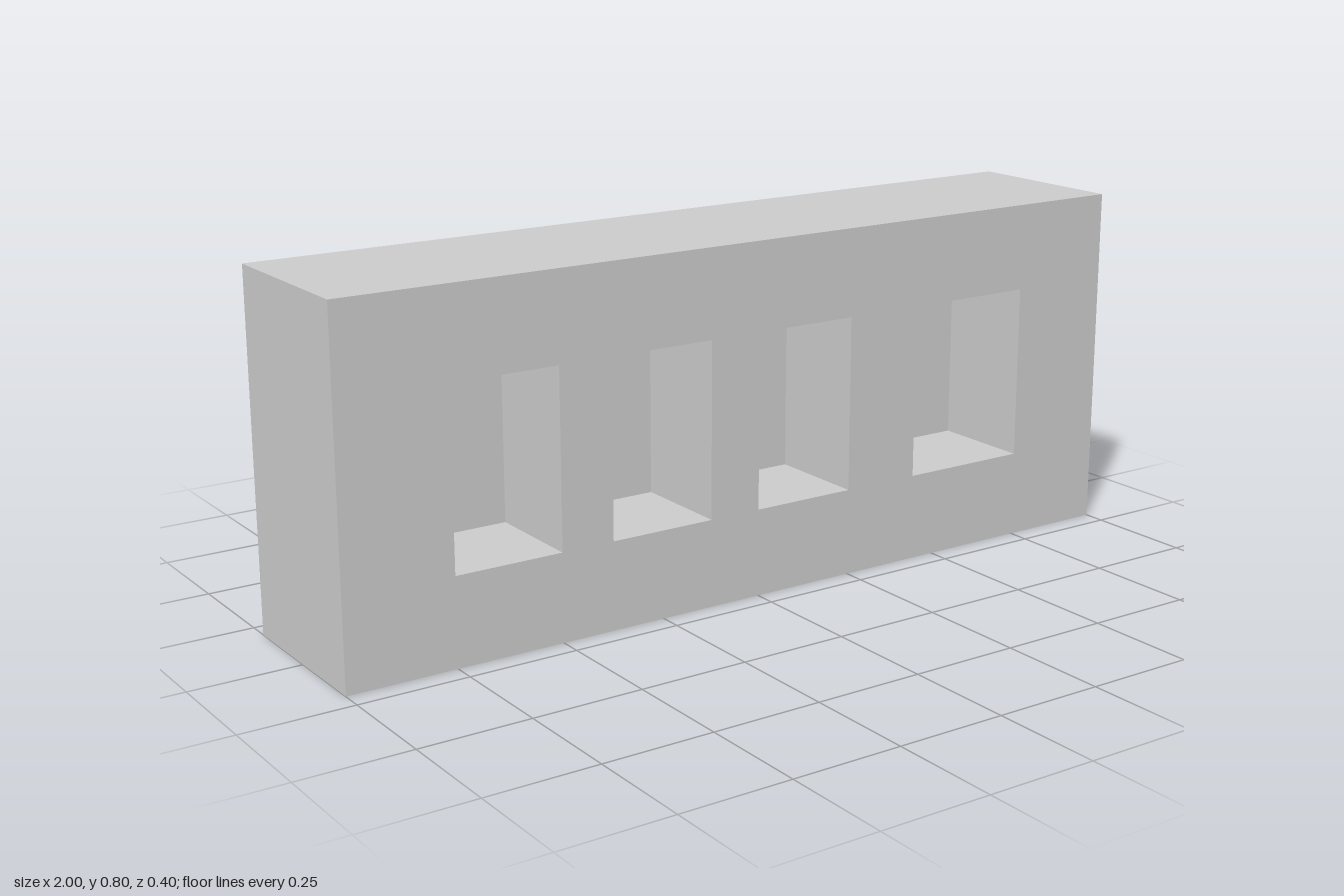
import * as THREE from 'three';

const W = 2, H = 0.8, D = 0.4;
const POCKET_BOTTOM = 0.2, POCKET_TOP = 0.6, POCKET_DEPTH = 0.24;
// left and right edge of each pocket
const POCKETS = [[-0.75, -0.5], [-0.375, -0.125], [0, 0.25], [0.4375, 0.75]];

// Box without its +z face; inward turns the faces to the inside
function openBox(w, h, d, inward = false) {
  const box = new THREE.BoxGeometry(w, h, d);
  const index = Array.from(box.index.array);
  index.splice(24, 6);
  if (inward) index.reverse();
  box.setIndex(index);
  box.clearGroups();
  const geometry = box.toNonIndexed();
  geometry.computeVertexNormals();
  return geometry;
}

function rectangle(path, x0, y0, x1, y1) {
  path.moveTo(x0, y0);
  path.lineTo(x1, y0);
  path.lineTo(x1, y1);
  path.lineTo(x0, y1);
  path.closePath();
  return path;
}

export function createModel() {
  const group = new THREE.Group();
  group.name = 'pocketedBlock';
  const material = new THREE.MeshStandardMaterial({ color: 0xcccccc });

  const add = (name, geometry, x, y, z) => {
    const mesh = new THREE.Mesh(geometry, material);
    mesh.name = name;
    mesh.position.set(x, y, z);
    group.add(mesh);
  };

  // Block sides, top, bottom and back
  add('block', openBox(W, H, D), 0, H / 2, 0);

  // Front face with the pocket openings
  const front = rectangle(new THREE.Shape(), -W / 2, 0, W / 2, H);
  for (const [x0, x1] of POCKETS) {
    front.holes.push(rectangle(new THREE.Path(), x0, POCKET_BOTTOM, x1, POCKET_TOP));
  }
  add('frontFace', new THREE.ShapeGeometry(front), 0, 0, D / 2);

  // Blind pockets: four walls and a floor each
  POCKETS.forEach(([x0, x1], i) => {
    add(`pocket${i + 1}`, openBox(x1 - x0, POCKET_TOP - POCKET_BOTTOM, POCKET_DEPTH, true),
      (x0 + x1) / 2, (POCKET_BOTTOM + POCKET_TOP) / 2, (D - POCKET_DEPTH) / 2);
  });

  return group;
}
